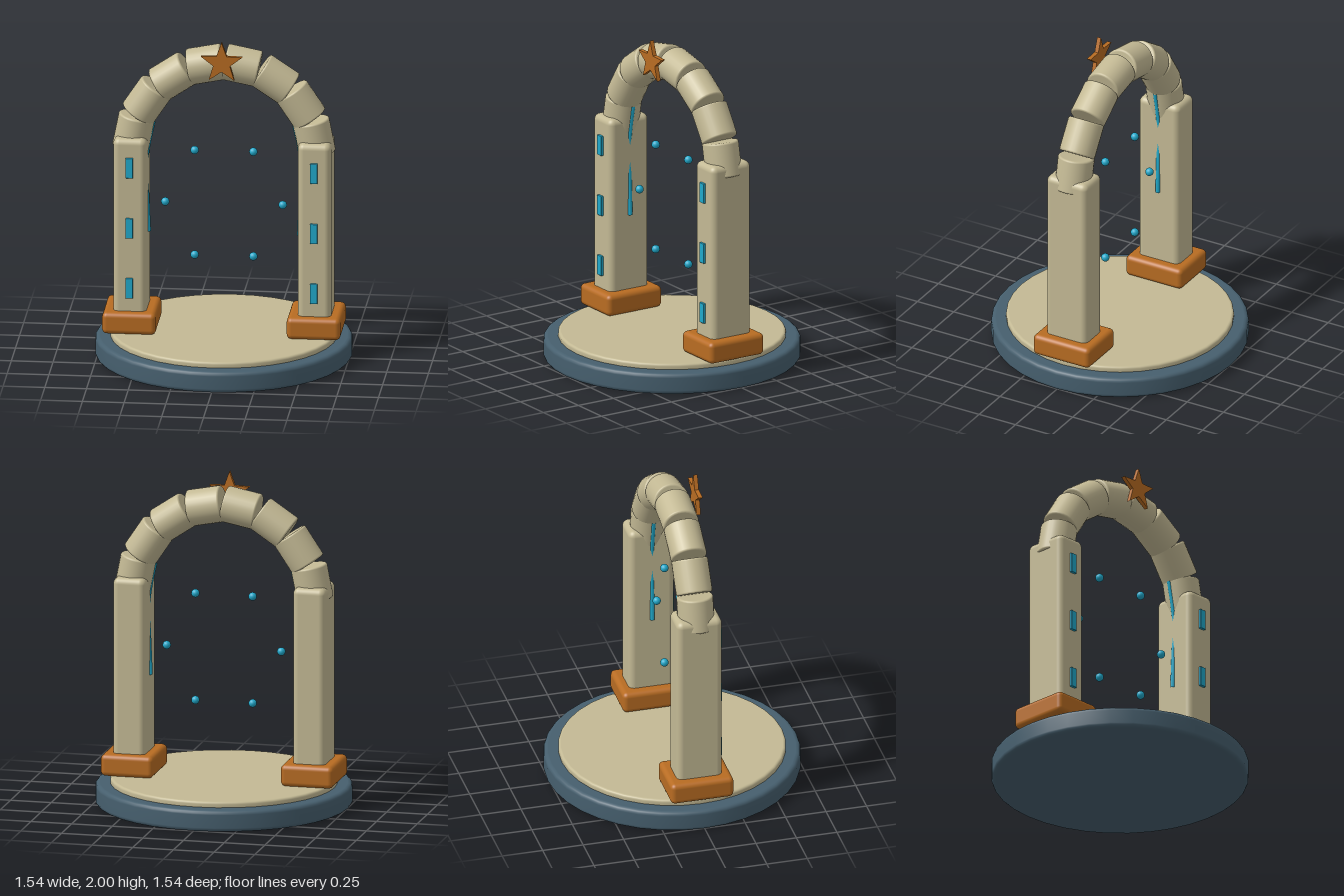
import * as THREE from 'three';
import { RoundedBoxGeometry } from 'three/addons/geometries/RoundedBoxGeometry.js';

const material = (name, color) => new THREE.MeshStandardMaterial({ name, color });

// Solid of revolution with rounded rims, standing on y = 0
function roundedDisc(radius, height, bevel, segments) {
  const e = bevel * 0.1;
  const pts = [[0, 0], [radius - bevel - e, 0]];
  for (const [cy, start] of [[bevel, -Math.PI / 2], [height - bevel, 0]]) {
    for (let i = 0; i <= 4; i++) {
      const a = start + (i / 4) * Math.PI / 2;
      pts.push([radius - bevel + bevel * Math.cos(a), cy + bevel * Math.sin(a)]);
    }
  }
  pts.push([radius - bevel - e, height], [0, height]);
  return new THREE.LatheGeometry(pts.map(([x, y]) => new THREE.Vector2(x, y)), segments);
}

export function createModel() {
  const stone = material('sandstone', 0xc3b994);
  const slate = material('slate', 0x465f6e);
  const bronze = material('bronze', 0xb86c22);
  const glow = material('cyan glow', 0x20a9cb);

  const model = new THREE.Group();
  model.name = 'archwayPortal';
  const add = (name, geometry, mat, x = 0, y = 0, z = 0, parent = model) => {
    const mesh = new THREE.Mesh(geometry, mat);
    mesh.name = name;
    mesh.position.set(x, y, z);
    parent.add(mesh);
    return mesh;
  };

  // Round platform
  add('platform', roundedDisc(0.768, 0.13, 0.025, 36), slate);
  add('platformFloor', roundedDisc(0.68, 0.045, 0.015, 36), stone, 0, 0.12);

  // Pillars with plinths, glowing plates and inner glow strips
  const plinth = new RoundedBoxGeometry(0.322, 0.133, 0.388, 4, 0.03);
  const shaft = new RoundedBoxGeometry(0.2, 1.17, 0.28, 4, 0.038);
  const plate = new RoundedBoxGeometry(0.045, 0.124, 0.018, 2, 0.004);
  for (const side of [-1, 1]) {
    const pillar = new THREE.Group();
    pillar.name = side > 0 ? 'leftPillar' : 'rightPillar';
    model.add(pillar);
    const x = side * 0.553;
    add('plinth', plinth, bronze, x, 0.231, 0, pillar);
    add('shaft', shaft, stone, x, 0.787, 0, pillar);
    for (const y of [0.443, 0.818, 1.195]) add('glowPlate', plate, glow, x, y, 0.147, pillar);

    const path = new THREE.CatmullRomCurve3(
      [[0.453, 0.76], [0.462, 0.98], [0.469, 1.18], [0.452, 1.32], [0.424, 1.45]]
        .map(([px, py]) => new THREE.Vector3(side * px, py, 0)));
    add('glowStrip', new THREE.TubeGeometry(path, 16, 0.015, 8), glow, 0, 0, 0, pillar);
  }

  // Arch of eight drum-shaped blocks
  const blocks = 8, archRadius = 0.552, archY = 1.273, blockLength = 0.21;
  const block = roundedDisc(0.11, blockLength, 0.012, 28).translate(0, -blockLength / 2, 0);
  for (let i = 0; i < blocks; i++) {
    const a = ((i + 0.5) / blocks) * Math.PI;
    const mesh = add('archBlock', block, stone,
      archRadius * Math.cos(a), archY + archRadius * Math.sin(a), 0);
    mesh.rotation.z = a;
  }

  // Star on the crown of the arch
  const star = new THREE.Shape();
  for (let i = 0; i < 10; i++) {
    const r = i % 2 ? 0.053 : 0.13;
    const a = Math.PI / 2 + (i * Math.PI) / 5;
    star[i ? 'lineTo' : 'moveTo'](r * Math.cos(a), r * Math.sin(a));
  }
  star.closePath();
  add('star', new THREE.ExtrudeGeometry(star, { depth: 0.026, bevelEnabled: false }),
    bronze, 0, 1.87, 0.131);

  // Ring of floating orbs
  const orb = new THREE.SphereGeometry(0.025, 16, 12);
  for (let i = 0; i < 6; i++) {
    const a = (i * Math.PI) / 3;
    add('orb', orb, glow, 0.352 * Math.cos(a), 0.947 + 0.378 * Math.sin(a), 0);
  }

  return model;
}
